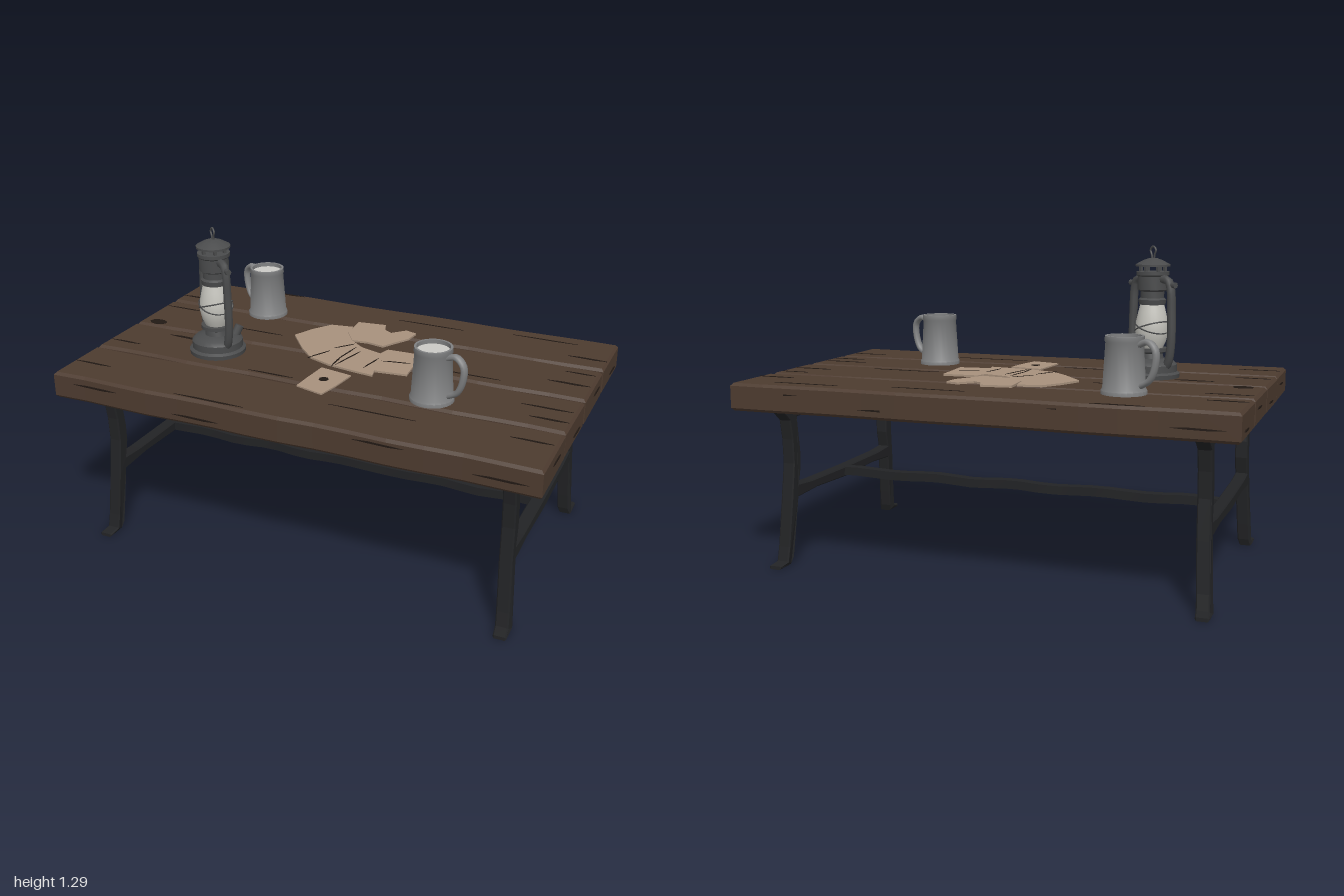
import * as THREE from 'three';
import { toCreasedNormals } from 'three/addons/utils/BufferGeometryUtils.js';

const paint = (name, color) => {
  const m = new THREE.MeshStandardMaterial({ color });
  m.name = name;
  return m;
};
const V = (x, y, z = 0) => new THREE.Vector3(x, y, z);

export function createModel() {
  const wood = paint('brown wood', 0x4d3b2f);
  const crackMat = paint('dark wood crack', 0x211914);
  const iron = paint('black iron', 0x222325);
  const lanternMetal = paint('dark lantern metal', 0x4a4b4c);
  const pewter = paint('grey pewter', 0x808182);
  const glassMat = paint('pale glass', 0xc4c3bc);
  const foamMat = paint('pale drink', 0xcbcac5);
  const paperMat = paint('tan paper', 0xa7917d);

  const root = new THREE.Group();
  root.name = 'tavernTable';
  const add = (parent, name, geo, mat, x = 0, y = 0, z = 0) => {
    const mesh = new THREE.Mesh(geo, mat);
    mesh.name = name;
    mesh.position.set(x, y, z);
    parent.add(mesh);
    return mesh;
  };
  const group = (name, x, y, z) => {
    const g = new THREE.Group();
    g.name = name;
    g.position.set(x, y, z);
    root.add(g);
    return g;
  };
  const shapeOf = pts => new THREE.Shape(pts.map(p => new THREE.Vector2(p[0], p[1])));
  const lathe = (pts, sides = 24) =>
    toCreasedNormals(new THREE.LatheGeometry(pts.map(p => new THREE.Vector2(p[0], p[1])), sides), 0.6);
  const tube = (pts, r, seg = 20, sides = 8) =>
    new THREE.TubeGeometry(new THREE.CatmullRomCurve3(pts), seg, r, sides);
  // Horizontal slab from an x,z outline; its top lies at y = 0
  const slab = (pts, depth) =>
    new THREE.ExtrudeGeometry(shapeOf(pts), { depth, bevelEnabled: false }).rotateX(Math.PI / 2);

  // Table planks with slightly uneven edges
  [[-0.6, -0.313], [-0.298, -0.004], [0.011, 0.287], [0.303, 0.596]].forEach(([z0, z1], k) => {
    const near = [], far = [], n = 14;
    for (let i = 0; i <= n; i++) {
      const x = -0.995 + 1.99 * i / n;
      near.push([x, z0 + 0.004 * Math.sin(i * 1.3 + k * 2)]);
      far.unshift([x + 0.004 * Math.sin(k * 3), z1 + 0.004 * Math.sin(i * 1.7 + k)]);
    }
    const geo = new THREE.ExtrudeGeometry(shapeOf([...near, ...far]), {
      depth: 0.088, bevelThickness: 0.011, bevelSize: 0.01, bevelOffset: -0.01, bevelSegments: 1
    }).rotateX(Math.PI / 2);
    add(root, 'plank' + (k + 1), geo, wood, 0, 0.754, 0);
  });

  // Cracks in the planks: x, z, length, width
  const crackGeo = (l, w) => slab(
    [[-l / 2, 0], [-l / 5, -w / 2], [l / 4, -w / 3], [l / 2, 0], [l / 5, w / 2], [-l / 4, w / 4]], 0.004);
  [[0.91, -0.4, 0.16, 0.012], [0.9, -0.13, 0.17, 0.014], [0.92, -0.24, 0.12, 0.008], [0.88, 0.12, 0.2, 0.01],
    [0.91, 0.21, 0.15, 0.012], [0.9, 0.4, 0.16, 0.01], [-0.91, -0.38, 0.15, 0.012], [-0.89, -0.23, 0.18, 0.008],
    [-0.7, 0.07, 0.16, 0.016], [-0.91, 0.21, 0.14, 0.01], [-0.9, 0.46, 0.17, 0.01], [-0.56, -0.585, 0.2, 0.012],
    [0.7, -0.53, 0.28, 0.007], [0.2, -0.49, 0.3, 0.006], [-0.3, 0.575, 0.3, 0.01], [0.3, 0.42, 0.35, 0.006],
    [-0.45, -0.12, 0.22, 0.006], [0.5, -0.05, 0.3, 0.006], [-0.2, 0.26, 0.2, 0.008]
  ].forEach(([x, z, l, w]) => add(root, 'crack', crackGeo(l, w), crackMat, x, 0.767, z));
  const knot = add(root, 'knot', new THREE.CylinderGeometry(0.04, 0.04, 0.004, 9), crackMat, -0.91, 0.765, -0.04);
  knot.scale.z = 0.65;
  // Cracks on the long sides and plank ends
  for (const s of [-1, 1]) {
    [[-0.8, 0.73], [-0.35, 0.69], [0.4, 0.74], [0.85, 0.7]].forEach(([x, y]) => {
      add(root, 'sideCrack', crackGeo(0.2, 0.008), crackMat, x * s, y, s * 0.601).rotation.x = s * Math.PI / 2;
    });
    [-0.5, -0.2, 0.12, 0.42].forEach((z, i) => {
      const c = add(root, 'endCrack', crackGeo(0.1, 0.008), crackMat, s * 0.999, 0.69 + 0.03 * (i % 2), z);
      c.rotation.set(0, Math.PI / 2, s * -Math.PI / 2, 'ZYX');
    });
  }

  // Iron end frames: half outlines in z,y mirrored to whole ones
  const whole = half => [...half, ...half.slice().reverse().map(([z, y]) => [-z, y])];
  const outer = whole([[0.1, 0.657], [0.525, 0.657], [0.457, 0.6], [0.442, 0.52], [0.438, 0.42], [0.455, 0.27],
    [0.476, 0.08], [0.487, 0.022], [0.535, 0.014], [0.535, 0], [0.45, 0], [0.438, 0.03], [0.427, 0.1],
    [0.405, 0.275], [0.25, 0.283], [0.02, 0.274]]);
  const opening = whole([[0.02, 0.319], [0.3, 0.322], [0.402, 0.33], [0.384, 0.4], [0.384, 0.47], [0.395, 0.55],
    [0.402, 0.608], [0.33, 0.612], [0.29, 0.595], [0.25, 0.611], [0.17, 0.607], [0.12, 0.597], [0.06, 0.61]]);
  for (const s of [-1, 1]) {
    const shape = shapeOf(outer);
    shape.holes.push(shapeOf(opening));
    const geo = new THREE.ExtrudeGeometry(shape, {
      depth: 0.042, bevelThickness: 0.005, bevelSize: 0.005, bevelOffset: -0.005, bevelSegments: 1
    }).translate(0, 0, -0.021).rotateY(Math.PI / 2);
    // Legs flare outward toward the feet
    const p = geo.attributes.position;
    for (let i = 0; i < p.count; i++) {
      const y = p.getY(i);
      p.setX(i, p.getX(i) + s * (0.015 * Math.max(0, 1 - y / 0.35) + (y < 0.016 ? 0.006 : 0)));
    }
    geo.computeVertexNormals();
    add(root, s > 0 ? 'leftLegFrame' : 'rightLegFrame', geo, iron, s * 0.846, 0, 0);
  }

  // Long hammered stretcher
  const bar = new THREE.BoxGeometry(1.66, 0.036, 0.042, 22, 1, 1);
  const bp = bar.attributes.position;
  for (let i = 0; i < bp.count; i++) {
    const x = bp.getX(i);
    bp.setY(i, bp.getY(i) + 0.004 * Math.sin(x * 17 + 1));
    bp.setZ(i, bp.getZ(i) + 0.003 * Math.sin(x * 23));
  }
  bar.computeVertexNormals();
  add(root, 'stretcher', bar, iron, 0, 0.298, 0);

  // Tankards
  const mug = (name, x, z, turn) => {
    const g = group(name, x, 0.765, z);
    g.rotation.y = turn;
    add(g, 'mugBody', lathe([[0, 0], [0.086, 0], [0.086, 0.014], [0.081, 0.022], [0.071, 0.19], [0.074, 0.196],
      [0.073, 0.215], [0.064, 0.215], [0.064, 0.19]]), pewter);
    add(g, 'drink', new THREE.CylinderGeometry(0.065, 0.065, 0.006, 24), foamMat, 0, 0.196, 0);
    const handle = add(g, 'mugHandle', tube([V(0.065, 0.185), V(0.105, 0.198), V(0.138, 0.17), V(0.138, 0.115),
      V(0.115, 0.06), V(0.074, 0.035)], 0.012), pewter);
    handle.scale.z = 1.4;
  };
  mug('frontMug', 0.462, 0.217, -0.3);
  mug('backMug', -0.52, -0.335, 2.75);

  // Oil lantern
  const lamp = group('lantern', -0.51, 0, 0.132);
  lamp.rotation.y = -0.6;
  add(lamp, 'lanternBase', lathe([[0, 0.765], [0.114, 0.765], [0.116, 0.782], [0.104, 0.79], [0.104, 0.818],
    [0.09, 0.832], [0.05, 0.842], [0.045, 0.862], [0.064, 0.87], [0.064, 0.884], [0, 0.884]]), lanternMetal);
  add(lamp, 'glassGlobe', lathe([[0.044, 0.88], [0.058, 0.91], [0.067, 0.95], [0.065, 0.985], [0.055, 1.03],
    [0.045, 1.07]]), glassMat);
  add(lamp, 'chimney', lathe([[0, 1.058], [0.053, 1.058], [0.056, 1.078], [0.047, 1.085], [0.047, 1.11],
    [0.06, 1.118], [0.06, 1.17], [0.066, 1.176], [0.066, 1.19], [0, 1.192]]), lanternMetal);
  add(lamp, 'lanternCap', lathe([[0, 1.21], [0.069, 1.21], [0.069, 1.218], [0.04, 1.234], [0.018, 1.242],
    [0, 1.244]]), lanternMetal);
  for (let i = 0; i < 6; i++) {
    const a = i * Math.PI / 3 + 0.3;
    add(lamp, 'capPost', new THREE.BoxGeometry(0.012, 0.024, 0.012), lanternMetal,
      0.048 * Math.cos(a), 1.2, 0.048 * Math.sin(a));
  }
  add(lamp, 'topLoop', tube([V(-0.006, 1.24), V(-0.008, 1.255), V(-0.016, 1.275), V(0, 1.289), V(0.016, 1.275),
    V(0.008, 1.255), V(0.006, 1.24)], 0.004, 24, 6), lanternMetal);
  // Side air tubes, pivots and guard wires
  for (const s of [-1, 1]) {
    add(lamp, 'airTube', tube([V(s * 0.08, 0.8), V(s * 0.102, 0.84), V(s * 0.114, 0.92), V(s * 0.112, 1.04),
      V(s * 0.107, 1.12), V(s * 0.092, 1.155), V(s * 0.045, 1.162)], 0.017, 24), lanternMetal);
    add(lamp, 'handlePivot', new THREE.CylinderGeometry(0.012, 0.012, 0.03, 8).rotateZ(Math.PI / 2),
      lanternMetal, s * 0.118, 1.14, 0);
    const wire = add(lamp, 'guardWire', new THREE.TorusGeometry(0.069, 0.003, 5, 28).rotateX(Math.PI / 2),
      lanternMetal, 0, 0.968, 0);
    wire.rotation.z = s * 0.35;
  }
  const fuelCap = add(lamp, 'fuelCap', new THREE.CylinderGeometry(0.018, 0.018, 0.04, 10), lanternMetal,
    0.03, 0.85, -0.078);
  fuelCap.rotation.x = -0.5;

  // Scattered papers
  const papers = group('papers', 0, 0, 0);
  add(papers, 'fannedSheet', slab([[-0.285, -0.13], [-0.245, -0.22], [-0.19, -0.3], [-0.095, -0.315], [-0.08, -0.24],
    [-0.035, -0.17], [0.03, -0.12], [0.125, -0.09], [0.14, -0.14], [0.288, -0.145], [0.302, 0.065], [0.17, 0.08],
    [0.18, 0.125], [0.08, 0.113], [-0.025, 0.095], [-0.12, 0.06], [-0.195, -0.015]], 0.008), paperMat, 0, 0.774, 0);
  add(papers, 'tornSheet', slab([[-0.093, -0.37], [0.03, -0.385], [0.05, -0.33], [0.085, -0.31], [0.135, -0.362],
    [0.185, -0.347], [0.178, -0.28], [0.135, -0.21], [0.108, -0.16], [0.03, -0.175], [-0.035, -0.168],
    [-0.085, -0.24]], 0.008), paperMat, 0, 0.777, 0);
  add(papers, 'smallNote', slab([[-0.035, 0.135], [0.104, 0.16], [0.09, 0.27], [0.07, 0.362], [-0.05, 0.33],
    [-0.045, 0.25]], 0.006), paperMat, 0, 0.773, 0);
  add(papers, 'noteSpot', new THREE.CylinderGeometry(0.02, 0.02, 0.003, 7), crackMat, 0.022, 0.773, 0.237);
  // Creases in the fanned sheet: x, z, length, turn
  [[0.0, -0.03, 0.16, 1.45], [0.025, 0.01, 0.18, 1.35], [-0.005, 0.06, 0.1, 1.6], [-0.1, 0.02, 0.12, 1.1],
    [0.13, 0.02, 0.12, 1.4], [0.22, -0.03, 0.12, 0.2], [-0.04, -0.1, 0.1, 0.9]].forEach(([x, z, l, turn]) => {
    add(papers, 'crease', crackGeo(l, 0.007), crackMat, x, 0.7755, z).rotation.y = turn;
  });

  return root;
}
